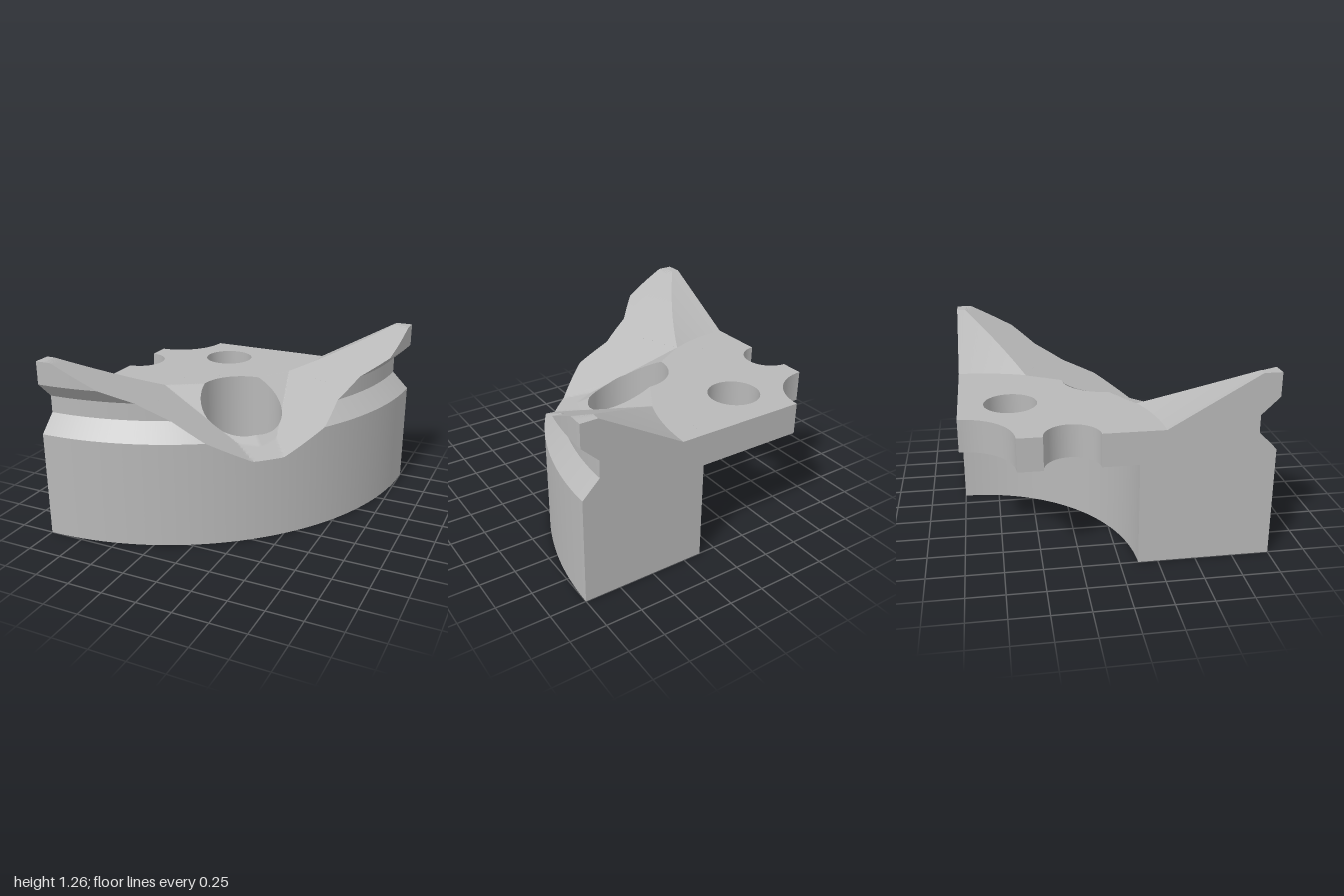
import * as THREE from 'three';
import { toCreasedNormals } from 'three/addons/utils/BufferGeometryUtils.js';

// Quarter of a clamping ring; the ring axis is the corner u = w = 0.
const HALF_PI = Math.PI / 2;
const R_IN = 1.12, R_EYE = 0.355, R_CONE = 1.285, R_RIM = 1.88, R_OUT = 2;
const Y_PLATE = 0.925, Y_UNDER = 0.70, Y_RIM = 1.265, Y_SEAT = 0.3;
const BOLT = 1.035, R_HEAD = 0.295, R_BORE = 0.19;
const SPLIT = Math.atan2(0.49, 1.19); // where the ridge meets the plate
const OUTER = [[2, 0], [2, 0.75], [1.88, 0.87], [1.88, 0.99], [2, 1.105], [2, Y_RIM]];

// Grooved outer profile: radius at a height
function outerRadius(y) {
  for (let i = 1; i < OUTER.length; i++) {
    const [r0, y0] = OUTER[i - 1], [r1, y1] = OUTER[i];
    if (y <= y1) return r0 + (r1 - r0) * (y - y0) / (y1 - y0);
  }
  return R_OUT;
}

// Top surface: raised conical rim cut by a V-shaped valley along the diagonal
function height(u, w) {
  const r = Math.hypot(u, w), s = (u + w) / Math.SQRT2, t = Math.abs(u - w) / Math.SQRT2;
  const slope = (Y_RIM - Y_PLATE) / (R_RIM - R_CONE);
  const cone = Math.min(Y_RIM, Y_PLATE + slope * Math.max(0, r - R_CONE));
  const side = 0.917 + 0.474 * t - 0.191 * s;
  const ramp = Y_PLATE - 0.55 * (s - 1.259) - 0.138 * (t - 0.212);
  const floor = 0.59 + 0.26 * (1.994 - s);
  return r < R_IN + 0.03 ? Y_PLATE : Math.min(cone, Math.max(side, ramp, floor));
}
const heightAt = (r, a) => height(r * Math.cos(a), r * Math.sin(a));

// Height at which the valley cuts the outer wall
function cutHeight(a) {
  let lo = 0, hi = Y_RIM;
  for (let i = 0; i < 40; i++) {
    const y = (lo + hi) / 2;
    if (y <= heightAt(outerRadius(y), a)) lo = y; else hi = y;
  }
  return lo;
}

// Radius of the ridge between cone and valley
function ridgeRadius(a) {
  const d = Math.PI / 4 - a;
  const k = 0.474 * Math.abs(Math.sin(d)) - 0.191 * Math.cos(d);
  const slope = (Y_RIM - Y_PLATE) / (R_RIM - R_CONE);
  return THREE.MathUtils.clamp((0.917 - Y_PLATE + slope * R_CONE) / (slope - k), R_CONE, R_RIM);
}

const polar = (r, a, y) => new THREE.Vector3(r * Math.cos(a), y, r * Math.sin(a));

// Surface from a grid of points, skipping collapsed triangles
function surface(ni, nj, point) {
  const pos = [], ab = new THREE.Vector3(), ac = new THREE.Vector3();
  const tri = (a, b, c) => {
    if (ab.subVectors(b, a).cross(ac.subVectors(c, a)).length() < 1e-8) return;
    for (const p of [a, b, c]) pos.push(p.x, p.y, p.z);
  };
  const rows = [];
  for (let i = 0; i <= ni; i++) {
    rows.push([]);
    for (let j = 0; j <= nj; j++) rows[i].push(point(i, j));
  }
  for (let i = 0; i < ni; i++) for (let j = 0; j < nj; j++) {
    const a = rows[i][j], b = rows[i + 1][j], c = rows[i + 1][j + 1], d = rows[i][j + 1];
    tri(a, b, c);
    tri(a, c, d);
  }
  const g = new THREE.BufferGeometry();
  g.setAttribute('position', new THREE.Float32BufferAttribute(pos, 3));
  return toCreasedNormals(g, 0.3);
}

export function createModel() {
  const steel = new THREE.MeshStandardMaterial({ color: 0xb8b8b8, side: THREE.DoubleSide });
  steel.name = 'grey steel';
  const body = new THREE.Group();
  body.name = 'ringSegment';
  body.position.set(-1, 0, -1);
  const add = (name, geometry) => {
    const m = new THREE.Mesh(geometry, steel);
    m.name = name;
    body.add(m);
  };

  // Inner plate with round hole, half hole and central opening
  const plate = new THREE.Shape();
  plate.absarc(0, 0, R_IN, 0, HALF_PI, false);
  plate.absarc(0, 0.7, 0.18, HALF_PI, -HALF_PI, true);
  plate.absarc(0, 0, R_EYE, HALF_PI, 0, true);
  plate.holes.push(new THREE.Path().absarc(0.61, 0.35, 0.18, 0, Math.PI * 2, true));
  const plateGeo = new THREE.ExtrudeGeometry(plate, { depth: Y_PLATE - Y_UNDER, bevelEnabled: false, curveSegments: 40 });
  plateGeo.rotateX(HALF_PI).translate(0, Y_PLATE, 0);
  add('innerPlate', toCreasedNormals(plateGeo, 0.4));

  // Underside with bolt hole
  const base = new THREE.Shape();
  base.absarc(0, 0, R_OUT, 0, HALF_PI, false);
  base.absarc(0, 0, R_IN, HALF_PI, 0, true);
  base.holes.push(new THREE.Path().absarc(BOLT, BOLT, R_BORE, 0, Math.PI * 2, true));
  add('underside', new THREE.ShapeGeometry(base, 60).rotateX(HALF_PI));

  // Flat cut faces on both ends of the quarter
  const section = [[R_IN, 0], ...OUTER, [R_RIM, Y_RIM], [R_CONE, Y_PLATE], [R_IN, Y_PLATE]];
  const face = (sx) => new THREE.ShapeGeometry(new THREE.Shape(section.map(([r, y]) => new THREE.Vector2(sx * r, y))));
  add('leftCutFace', face(1).rotateY(-HALF_PI));
  add('backCutFace', face(-1).rotateY(Math.PI));

  // Cavity wall beneath the plate
  add('cavityWall', surface(60, 1, (i, j) => polar(R_IN, i / 60 * HALF_PI, j * Y_UNDER)));

  // Outer wall bands, trimmed by the valley
  const bands = ['outerWall', 'lowerBevel', 'groove', 'upperBevel', 'outerLip'];
  const N = 180, cuts = Array.from({ length: N + 1 }, (_, i) => cutHeight(i / N * HALF_PI));
  bands.forEach((name, k) => add(name, surface(1, N, (i, j) => {
    const y = Math.min(OUTER[k + i][1], cuts[j]);
    return polar(outerRadius(y), j / N * HALF_PI, y);
  })));

  // Raised wings: cone, ridge and valley side on each end
  const wing = (from, to) => surface(60, 4, (i, j) => {
    const a = from + (to - from) * i / 60;
    const rc = outerRadius(cutHeight(a)), rx = Math.min(rc, ridgeRadius(a));
    const r = [R_IN, R_CONE, rx, Math.max(rx, Math.min(R_RIM, rc)), rc][j];
    return polar(r, a, heightAt(r, a));
  });
  add('leftWing', wing(0, SPLIT));
  add('frontWing', wing(HALF_PI - SPLIT, HALF_PI));

  // Valley around the bolt pocket, spanned from pocket edge to its border
  const border = [], M = 70, A0 = SPLIT, A1 = HALF_PI - SPLIT;
  const lerp = THREE.MathUtils.lerp;
  const rEnd = outerRadius(cutHeight(A0));
  const sides = [
    (f) => { const a = lerp(A0, A1, f); return polar(outerRadius(cutHeight(a)), a, 0); },
    (f) => polar(lerp(rEnd, R_IN, f), A1, 0),
    (f) => polar(R_IN, lerp(A1, A0, f), 0),
    (f) => polar(lerp(R_IN, rEnd, f), A0, 0),
  ];
  for (const side of sides) for (let i = 0; i < M; i++) border.push(side(i / M));
  border.push(border[0].clone());
  const pocketEdge = border.map((p) => {
    const a = Math.atan2(p.z - BOLT, p.x - BOLT);
    return new THREE.Vector3(BOLT + R_HEAD * Math.cos(a), 0, BOLT + R_HEAD * Math.sin(a));
  });
  const lift = (p) => p.setY(height(p.x, p.z));
  add('valley', surface(border.length - 1, 40, (i, j) => lift(pocketEdge[i].clone().lerp(border[i], j / 40))));

  // Bolt pocket, seat and through bore
  add('pocketWall', surface(border.length - 1, 1, (i, j) => {
    const p = lift(pocketEdge[i].clone());
    return j ? p : p.setY(Y_SEAT);
  }));
  add('boltSeat', new THREE.RingGeometry(R_BORE, R_HEAD, 64).rotateX(-HALF_PI).translate(BOLT, Y_SEAT, BOLT));
  add('boltBore', surface(64, 1, (i, j) => polar(R_BORE, i / 64 * Math.PI * 2, j * Y_SEAT).add(new THREE.Vector3(BOLT, 0, BOLT))));

  const model = new THREE.Group();
  model.name = 'clampJaw';
  model.add(body);
  return model;
}
